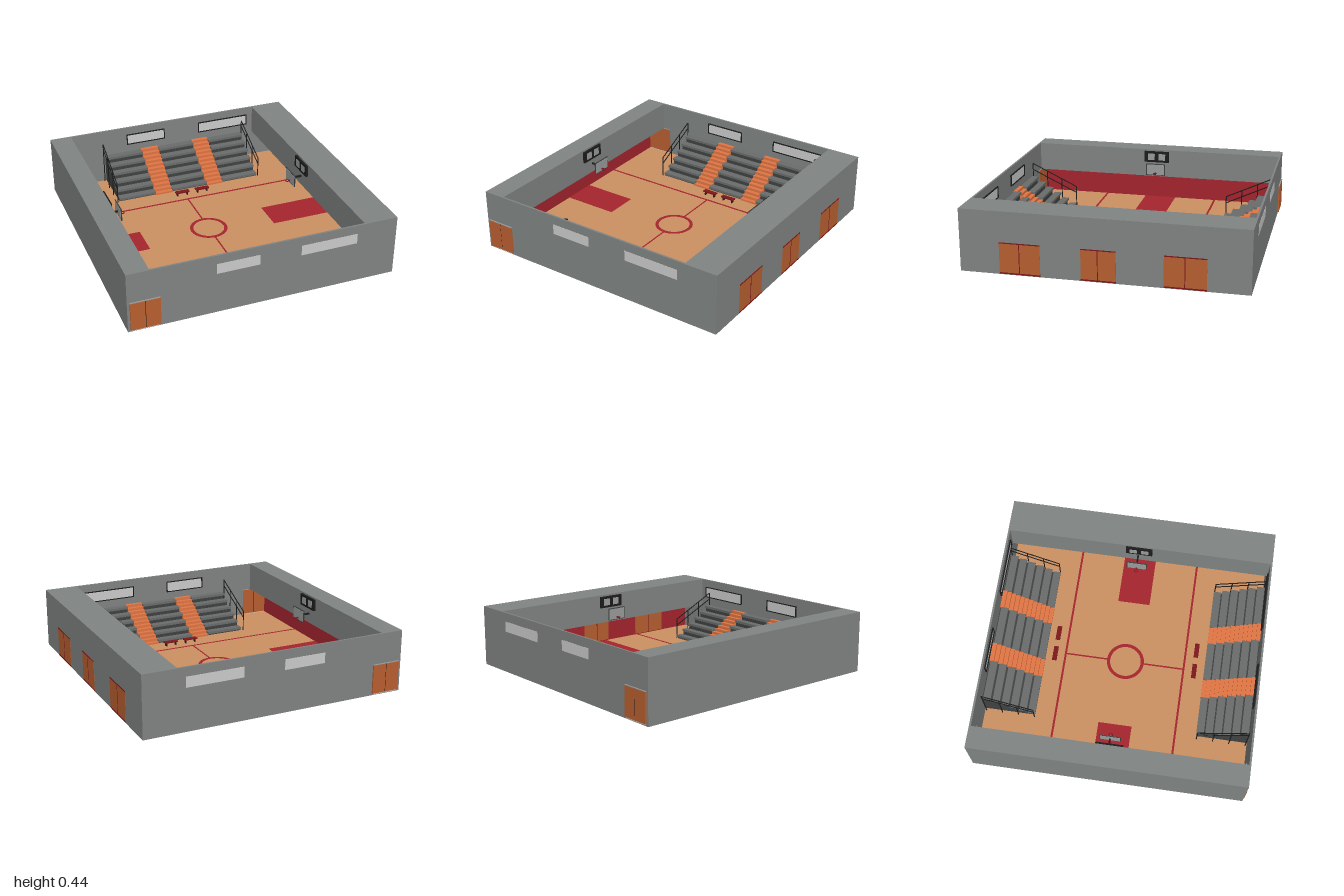
import * as THREE from 'three';

const mat = (color) => new THREE.MeshStandardMaterial({ color });
const M = {
  wall: mat(0x808482), floor: mat(0xcc9062), red: mat(0xa5242e), darkRed: mat(0x7d161c),
  seat: mat(0x6a6c6c), riser: mat(0x404242), stair: mat(0xe07543), door: mat(0xb85f30),
  black: mat(0x1c1c1c), glass: mat(0xcccccc), board: mat(0x9a9c9c),
};

// Box given by its limits on each axis
function box(parent, name, material, [x0, x1], [y0, y1], [z0, z1]) {
  const mesh = new THREE.Mesh(new THREE.BoxGeometry(x1 - x0, y1 - y0, z1 - z0), material);
  mesh.position.set((x0 + x1) / 2, (y0 + y1) / 2, (z0 + z1) / 2);
  mesh.name = name;
  parent.add(mesh);
  return mesh;
}

// Round bar between two points
function bar(parent, name, material, a, b, r = 0.004) {
  const p = new THREE.Vector3(...a), q = new THREE.Vector3(...b);
  const mesh = new THREE.Mesh(new THREE.CylinderGeometry(r, r, p.distanceTo(q), 8), material);
  mesh.position.copy(p).add(q).multiplyScalar(0.5);
  mesh.quaternion.setFromUnitVectors(new THREE.Vector3(0, 1, 0), q.sub(p).normalize());
  mesh.name = name;
  parent.add(mesh);
}

function group(parent, name) {
  const g = new THREE.Group();
  g.name = name;
  parent.add(g);
  return g;
}

// Limits on z, mirrored to the front (s = 1) or back (s = -1)
const side = (s, a, b) => (s > 0 ? [a, b] : [-b, -a]);

function buildShell(root) {
  const g = group(root, 'walls');
  const H = 0.445, L = 0.225;
  box(g, 'rightOuterWall', M.wall, [-0.97, -0.955], [0, H], [-0.99, 0.99]);
  box(g, 'leftOuterWall', M.wall, [0.95, 0.965], [0, H], [-0.99, 0.99]);
  for (const s of [1, -1]) box(g, 'endWall', M.wall, [-0.955, 0.95], [0, H], side(s, 0.976, 0.99));
  // deep upper walls over the side corridors
  box(g, 'rightOverhang', M.wall, [-0.955, -0.81], [L, H], [-0.976, 0.976]);
  box(g, 'leftOverhang', M.wall, [0.72, 0.95], [L, H], [-0.976, 0.976]);
  // red padding in the corridors
  box(g, 'rightPadding', M.red, [-0.956, -0.95], [0.01, L], [-0.976, 0.976]);
  box(g, 'leftPadding', M.red, [0.945, 0.951], [0.01, L], [-0.976, 0.976]);
}

function buildCourt(root) {
  const g = group(root, 'court');
  const y = [0.001, 0.0115];
  box(g, 'floor', M.floor, [-0.96, 0.96], [0.003, 0.01], [-0.985, 0.985]);
  box(g, 'sideLine', M.red, [-0.95, 0.945], y, [-0.462, -0.447]);
  box(g, 'sideLine', M.red, [-0.95, 0.945], y, [0.437, 0.452]);
  box(g, 'halfLine', M.red, [-0.041, -0.03], y, [-0.447, -0.133]);
  box(g, 'halfLine', M.red, [-0.041, -0.03], y, [0.133, 0.437]);
  box(g, 'keyArea', M.red, [-0.95, -0.535], y, [-0.128, 0.12]);
  box(g, 'keyArea', M.red, [0.447, 0.945], y, [-0.123, 0.12]);
  // centre circle
  const ring = new THREE.Shape().absarc(0, 0, 0.14, 0, Math.PI * 2);
  ring.holes.push(new THREE.Path().absarc(0, 0, 0.116, 0, Math.PI * 2, true));
  const mesh = new THREE.Mesh(
    new THREE.ExtrudeGeometry(ring, { depth: 0.0105, bevelEnabled: false, curveSegments: 32 }), M.red);
  mesh.name = 'centreCircle';
  mesh.rotation.x = -Math.PI / 2;
  mesh.position.set(-0.035, 0.001, 0.002);
  g.add(mesh);
}

function buildOpenings(root) {
  const g = group(root, 'doorsAndWindows');
  for (const s of [1, -1]) {
    // double doors in the end walls
    box(g, 'endDoor', M.door, [-0.952, -0.85], [0.014, 0.222], side(s, 0.971, 1));
    box(g, 'endDoor', M.door, [-0.846, -0.745], [0.014, 0.222], side(s, 0.971, 1));
    box(g, 'endDoorSeam', M.black, [-0.851, -0.845], [0.014, 0.222], side(s, 0.973, 0.998));
    box(g, 'endDoorLintel', M.board, [-0.952, -0.745], [0.222, 0.227], side(s, 0.972, 0.998));
    box(g, 'endDoorSill', M.glass, [-0.945, -0.75], [0.008, 0.014], side(s, 0.969, 0.997));
    // high windows
    for (const [x0, x1] of [[-0.355, -0.05], [0.25, 0.665]]) {
      box(g, 'window', M.glass, [x0, x1], [0.305, 0.38], side(s, 0.973, 0.9915));
      box(g, 'windowFrame', M.black, [x0 - 0.006, x1 + 0.006], [0.38, 0.386], side(s, 0.966, 0.98));
      box(g, 'windowFrame', M.black, [x0 - 0.006, x1 + 0.006], [0.299, 0.305], side(s, 0.966, 0.98));
      for (const x of [x0 - 0.006, x1]) {
        box(g, 'windowFrame', M.black, [x, x + 0.006], [0.305, 0.38], side(s, 0.966, 0.98));
      }
    }
  }
  // three double doors in the left wall
  for (const [z0, zm, z1] of [[0.425, 0.57, 0.71], [-0.095, 0.03, 0.145], [-0.7, -0.555, -0.415]]) {
    box(g, 'sideDoor', M.door, [0.943, 0.967], [0.014, 0.22], [z0, z1]);
    box(g, 'sideDoorSeam', M.darkRed, [0.942, 0.968], [0.014, 0.22], [zm - 0.003, zm + 0.003]);
    box(g, 'sideDoorTop', M.darkRed, [0.942, 0.968], [0.22, 0.227], [z0, z1]);
    box(g, 'sideDoorSill', M.darkRed, [0.942, 0.968], [0.004, 0.014], [z0, z1]);
  }
}

function buildStand(root, s, dx) {
  const g = group(root, s > 0 ? 'frontStand' : 'backStand');
  const rows = 6, depth = 0.0625, rise = 0.04, z0 = 0.6;
  const seats = [[-0.545, -0.25], [-0.11, 0.18], [0.315, 0.61]];
  const stairs = [[-0.25, -0.11], [0.18, 0.315]];
  for (let i = 0; i < rows; i++) {
    const z = z0 + i * depth, top = (i + 1) * rise;
    // benches: dark riser with a plank set forward on top
    for (const [a, b] of seats) {
      box(g, 'benchRiser', M.riser, [a + dx, b + dx], [0.004, top - 0.016], side(s, z + 0.012, 0.976));
      box(g, 'benchPlank', M.seat, [a + dx, b + dx], [top - 0.018, top], side(s, z, z + depth - 0.008));
    }
    // stairs: two half-height treads per row
    for (const [a, b] of stairs) {
      box(g, 'stairStep', M.stair, [a + dx, b + dx], [0.004, top - rise / 2 + 0.004], side(s, z, 0.975));
      box(g, 'stairStep', M.stair, [a + dx, b + dx], [0.004, top + 0.004], side(s, z + depth / 2, 0.975));
    }
  }
  // sloping railings at both ends
  for (const x of [-0.56, 0.622]) {
    const rail = group(g, 'railing');
    const y = (t) => 0.17 + 0.17 * t, z = (t) => s * (0.605 + 0.36 * t);
    for (const drop of [0, 0.05]) {
      bar(rail, 'handrail', M.black, [x, y(0) - drop, z(0)], [x, y(1) - drop, z(1)]);
    }
    for (let i = 0; i < 4; i++) bar(rail, 'railPost', M.black, [x, 0.002, z(i / 3)], [x, y(i / 3), z(i / 3)]);
  }
  // team benches at the side of the court
  const zc = s > 0 ? 0.525 : -0.53;
  for (const a of [-0.11, 0.055]) {
    const b = group(g, 'teamBench'), x = a + dx;
    box(b, 'benchSeat', M.darkRed, [x, x + 0.11], [0.034, 0.044], [zc - 0.017, zc + 0.017]);
    for (const lx of [x + 0.012, x + 0.09]) {
      box(b, 'benchLeg', M.black, [lx, lx + 0.008], [0.004, 0.034], [zc - 0.013, zc + 0.013]);
    }
  }
}

// Hoop and scoreboard; d points from the wall into the court
function buildHoop(root, wallX, d) {
  const g = group(root, 'hoopAndScoreboard');
  const X = (a, b) => [wallX + d * a, wallX + d * b].sort((p, q) => p - q);
  box(g, 'scoreboard', M.black, X(0, 0.016), [0.345, 0.432], [-0.1, 0.098]);
  for (const z of [-0.072, 0.014]) box(g, 'scorePanel', M.board, X(0.014, 0.018), [0.362, 0.415], [z, z + 0.055]);
  box(g, 'hoopArm', M.black, X(0, 0.088), [0.292, 0.304], [-0.015, -0.003]);
  box(g, 'backboardFrame', M.riser, X(0.086, 0.093), [0.258, 0.352], [-0.085, 0.068]);
  box(g, 'backboard', M.board, X(0.084, 0.095), [0.264, 0.346], [-0.079, 0.062]);
  box(g, 'hoopBracket', M.darkRed, X(0.093, 0.106), [0.274, 0.284], [-0.015, -0.003]);
  const hoop = new THREE.Mesh(new THREE.TorusGeometry(0.013, 0.003, 8, 24), M.darkRed);
  hoop.name = 'hoopRing';
  hoop.rotation.x = Math.PI / 2;
  hoop.position.set(wallX + d * 0.118, 0.28, -0.009);
  g.add(hoop);
}

export function createModel() {
  const root = new THREE.Group();
  root.name = 'sportsHall';
  buildShell(root);
  buildCourt(root);
  buildOpenings(root);
  buildStand(root, -1, 0);
  buildStand(root, 1, 0.007);
  buildHoop(root, -0.81, 1);
  buildHoop(root, 0.72, -1);
  return root;
}
